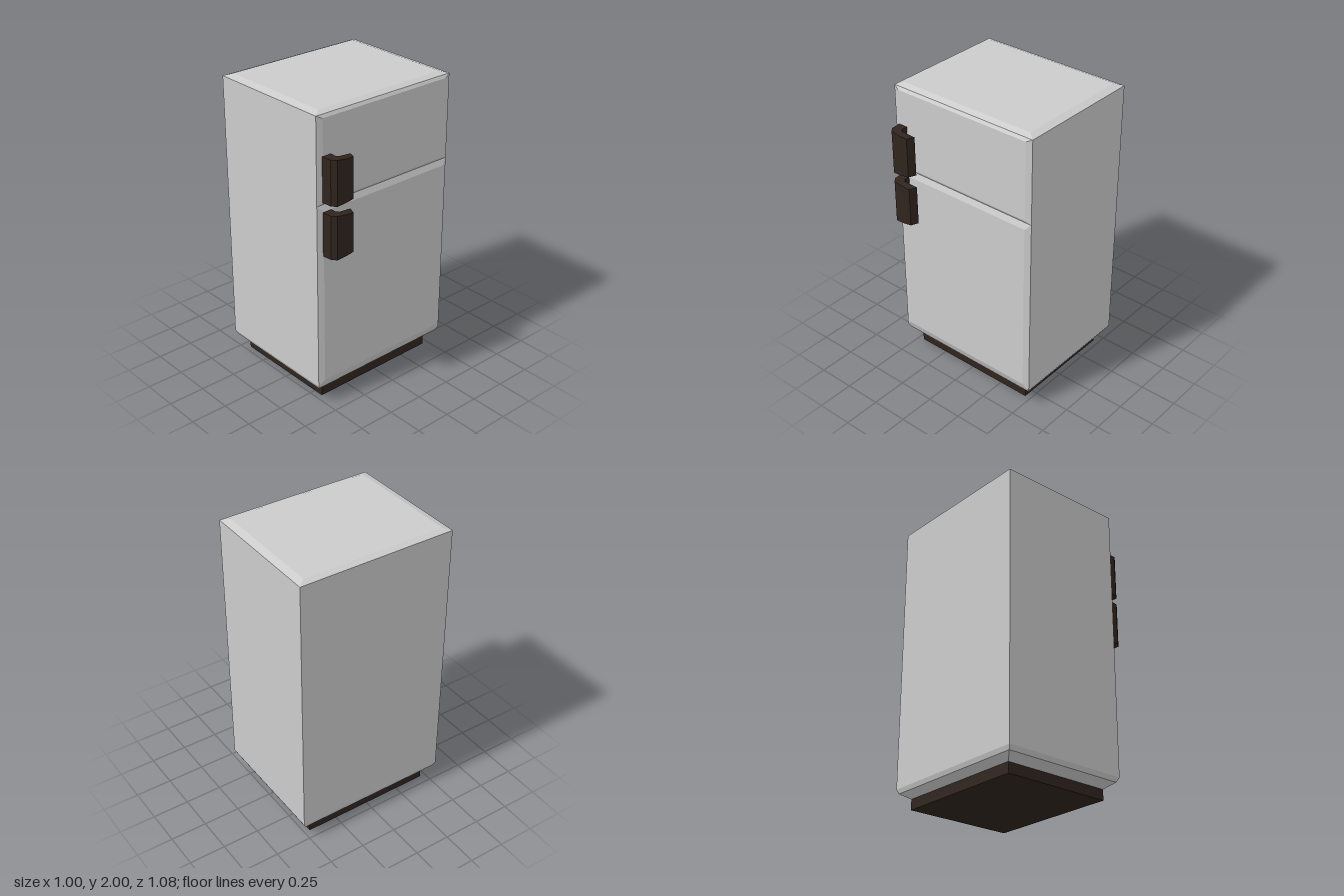
import * as THREE from 'three';

const grey = new THREE.MeshStandardMaterial({ color: 0xcccccc, flatShading: true });
const dark = new THREE.MeshStandardMaterial({ color: 0x30251e, flatShading: true });

// Joins four-cornered rings into a faceted solid with both ends capped
function loft(rings) {
  const pos = [];
  const quad = (a, b, c, d) => pos.push(...a, ...b, ...c, ...a, ...c, ...d);
  for (let r = 0; r < rings.length - 1; r++) {
    const lo = rings[r], hi = rings[r + 1];
    for (let i = 0; i < 4; i++) {
      const j = (i + 1) % 4;
      quad(lo[i], lo[j], hi[j], hi[i]);
    }
  }
  const [a, b, c, d] = rings[0];
  quad(d, c, b, a);
  quad(...rings[rings.length - 1]);
  const geo = new THREE.BufferGeometry();
  geo.setAttribute('position', new THREE.Float32BufferAttribute(pos, 3));
  geo.computeVertexNormals();
  return geo;
}

// Horizontal ring at height y, and upright ring at depth x
const levelRing = ([y, x0, x1, z]) => [[x0, y, z], [x1, y, z], [x1, y, -z], [x0, y, -z]];
const uprightRing = ([x, y0, y1, z]) => [[x, y0, -z], [x, y1, -z], [x, y1, z], [x, y0, z]];

// Hooked grip: plan outline extruded upwards, slightly shorter at its free end
function handleGeometry(y0, y1) {
  const outline = [
    [0.39, 0.505], [0.465, 0.5], [0.495, 0.475], [0.5, 0.4], [0.495, 0.35],
    [0.445, 0.33], [0.455, 0.425], [0.435, 0.44], [0.39, 0.44],
  ].map(([x, z]) => new THREE.Vector2(x, -z));
  const geo = new THREE.ExtrudeGeometry(new THREE.Shape(outline), { depth: y1 - y0, bevelEnabled: false });
  geo.rotateX(-Math.PI / 2).translate(0, y0, 0);
  const p = geo.attributes.position, mid = (y0 + y1) / 2;
  for (let i = 0; i < p.count; i++) {
    const inset = 0.013 * THREE.MathUtils.clamp((0.425 - p.getZ(i)) / 0.04, 0, 1);
    p.setY(i, p.getY(i) - Math.sign(p.getY(i) - mid) * inset);
  }
  geo.computeVertexNormals();
  return geo;
}

export function createModel() {
  const model = new THREE.Group();
  model.name = 'refrigerator';
  const add = (name, geo, mat) => {
    const mesh = new THREE.Mesh(geo, mat);
    mesh.name = name;
    model.add(mesh);
  };

  // Cabinet with chamfered top and tapering foot
  add('cabinet', loft([
    [0.07, -0.44, 0.32, 0.46],
    [0.11, -0.49, 0.37, 0.525],
    [0.14, -0.5, 0.385, 0.54],
    [1.985, -0.5, 0.385, 0.54],
    [2.0, -0.46, 0.345, 0.49],
  ].map(levelRing)), grey);

  // Recessed plinth
  const plinth = new THREE.BoxGeometry(0.76, 0.07, 0.92);
  plinth.translate(-0.06, 0.035, 0);
  add('plinth', plinth, dark);

  // Bevelled doors, meeting in a V groove
  add('fridgeDoor', loft([[0.385, 0.14, 1.415, 0.54], [0.4, 0.18, 1.375, 0.5]].map(uprightRing)), grey);
  add('freezerDoor', loft([[0.385, 1.415, 1.985, 0.54], [0.397, 1.435, 1.965, 0.5]].map(uprightRing)), grey);

  // Door handles
  add('freezerHandle', handleGeometry(1.435, 1.73), dark);
  add('fridgeHandle', handleGeometry(1.08, 1.372), dark);

  return model;
}
